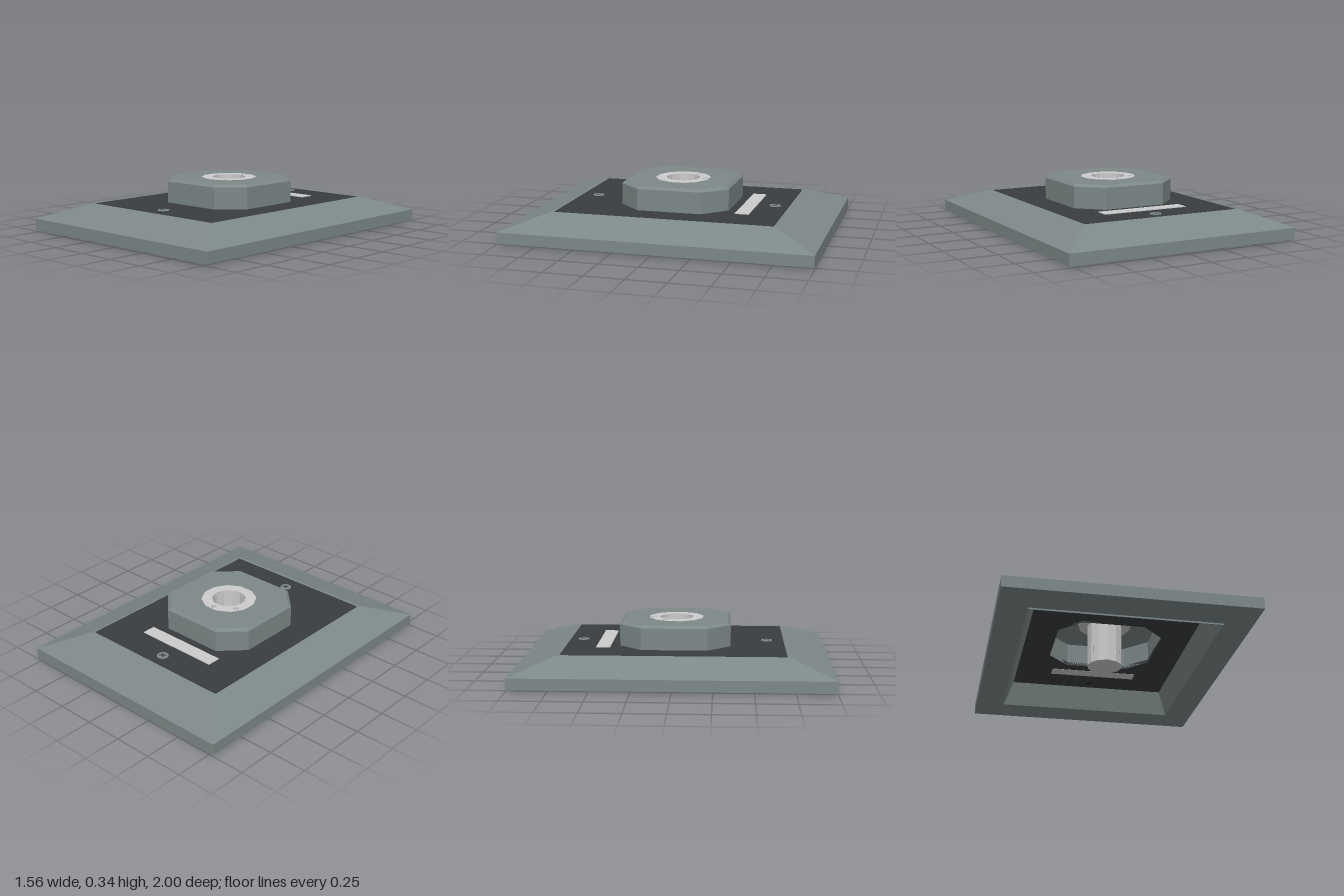
import * as THREE from 'three';

const material = (color, side = THREE.FrontSide) =>
  new THREE.MeshStandardMaterial({ color, side, flatShading: true });
const grey = material(0x7d8888);
const dark = material(0x3a3d3f);
const pale = material(0xcfcbcb, THREE.DoubleSide);
const black = material(0x22231c);

function add(parent, name, geometry, mat, x = 0, y = 0, z = 0) {
  const mesh = new THREE.Mesh(geometry, mat);
  mesh.name = name;
  mesh.position.set(x, y, z);
  parent.add(mesh);
  return mesh;
}

// Rectangle outline, with optional corner cut, running anticlockwise from above
function outline(hx, hz, cut = 0) {
  const cx = hx - cut, cz = hz - cut;
  if (!cut) return [[hx, hz], [hx, -hz], [-hx, -hz], [-hx, hz]];
  return [[hx, cz], [hx, -cz], [cx, -hz], [-cx, -hz], [-hx, -cz], [-hx, cz], [-cx, hz], [cx, hz]];
}

// Skin through a list of [halfX, halfZ, y, cornerCut] outlines
function skin(sections) {
  const rings = sections.map(([hx, hz, y, cut]) => outline(hx, hz, cut).map(([x, z]) => [x, y, z]));
  const pos = [];
  for (let s = 0; s < rings.length - 1; s++) {
    const lo = rings[s], hi = rings[s + 1], n = lo.length;
    for (let i = 0; i < n; i++) {
      const j = (i + 1) % n;
      pos.push(...lo[i], ...lo[j], ...hi[j], ...lo[i], ...hi[j], ...hi[i]);
    }
  }
  const g = new THREE.BufferGeometry();
  g.setAttribute('position', new THREE.Float32BufferAttribute(pos, 3));
  g.computeVertexNormals();
  return g;
}

// Flat slab lying on the ground plane, extruded upwards
function slab(points, holes, depth) {
  const shape = new THREE.Shape(points.map(([x, z]) => new THREE.Vector2(x, -z)));
  shape.holes = holes;
  const g = new THREE.ExtrudeGeometry(shape, { depth, bevelEnabled: false, curveSegments: 12 });
  return g.rotateX(-Math.PI / 2);
}

const roundHole = (x, z, r) => new THREE.Path().absarc(x, -z, r, 0, Math.PI * 2, true);

function polygon(r, n) {
  return Array.from({ length: n }, (_, i) => {
    const a = -(i + 0.5) * Math.PI * 2 / n;
    return [r * Math.cos(a), r * Math.sin(a)];
  });
}

export function createModel() {
  const model = new THREE.Group();
  model.name = 'wallSocket';

  // Sloping frame, hollow underneath with a thin skirt
  add(model, 'frame', skin([
    [0.59, 0.76, 0], [0.595, 0.765, 0], [0.595, 0.765, 0.01],
    [0.78, 1, 0.01], [0.78, 1, 0.083], [0.545, 0.725, 0.178],
    [0.536, 0.713, 0.178], [0.531, 0.706, 0.172], [0.531, 0.706, 0.155], [0.59, 0.76, 0],
  ]), grey);

  // Cover plate with an eight-sided opening
  const opening = new THREE.Path(outline(0.34, 0.34, 0.14).map(([x, z]) => new THREE.Vector2(x, -z)));
  add(model, 'coverPlate', slab(outline(0.531, 0.706), [opening], 0.024), dark, 0, 0.154, 0);

  // Raised eight-sided housing, open below
  add(model, 'housing', skin([
    [0.34, 0.34, 0.154, 0.14], [0.357, 0.357, 0.154, 0.147],
    [0.357, 0.357, 0.317, 0.147], [0.34, 0.34, 0.333, 0.14],
    [0.155, 0.155, 0.333, 0.075], [0.155, 0.155, 0.31, 0.075],
    [0.34, 0.34, 0.31, 0.14], [0.34, 0.34, 0.154, 0.14],
  ]), grey);

  // Pale insert: flange with two small holes, and a deep barrel
  const insert = new THREE.Group();
  insert.name = 'insert';
  model.add(insert);
  const holes = [roundHole(0, 0, 0.109), roundHole(0, -0.145, 0.018), roundHole(-0.125, -0.073, 0.018)];
  add(insert, 'flange', slab(polygon(0.181, 12), holes, 0.02), pale, 0, 0.315, 0);
  const profile = [[0, 0.01], [0.115, 0.01], [0.115, 0.3], [0.176, 0.3], [0.176, 0.315],
    [0.109, 0.315], [0.109, 0.08], [0, 0.08]].map(([r, y]) => new THREE.Vector2(r, y));
  add(insert, 'barrel', new THREE.LatheGeometry(profile, 12), pale);

  // Side contacts and centre contact inside the barrel
  for (const s of [-1, 1]) {
    add(insert, 'sideContact', new THREE.BoxGeometry(0.018, 0.05, 0.14), grey, s * 0.08, 0.1, 0);
    add(insert, 'contactSlot', new THREE.BoxGeometry(0.004, 0.052, 0.14), black, s * 0.07, 0.1, 0);
  }
  add(insert, 'centreContact', new THREE.CylinderGeometry(0.027, 0.027, 0.02, 12), black, 0, 0.085, 0);

  // Label strip let into the plate
  add(model, 'labelStrip', new THREE.BoxGeometry(0.58, 0.03, 0.09), pale, 0, 0.168, -0.46);

  // Two cross-head screws
  for (const z of [-0.62, 0.595]) {
    const screw = new THREE.Group();
    screw.name = 'screw';
    screw.position.set(0, 0.176, z);
    model.add(screw);
    add(screw, 'screwHead', new THREE.CylinderGeometry(0.036, 0.043, 0.012, 16), grey);
    add(screw, 'screwShank', new THREE.CylinderGeometry(0.022, 0.022, 0.03, 12), black, 0, -0.012, 0);
    for (const turn of [Math.PI / 4, -Math.PI / 4]) {
      add(screw, 'screwSlot', new THREE.BoxGeometry(0.045, 0.002, 0.008), dark, 0, 0.0055, 0).rotation.y = turn;
    }
  }
  return model;
}
